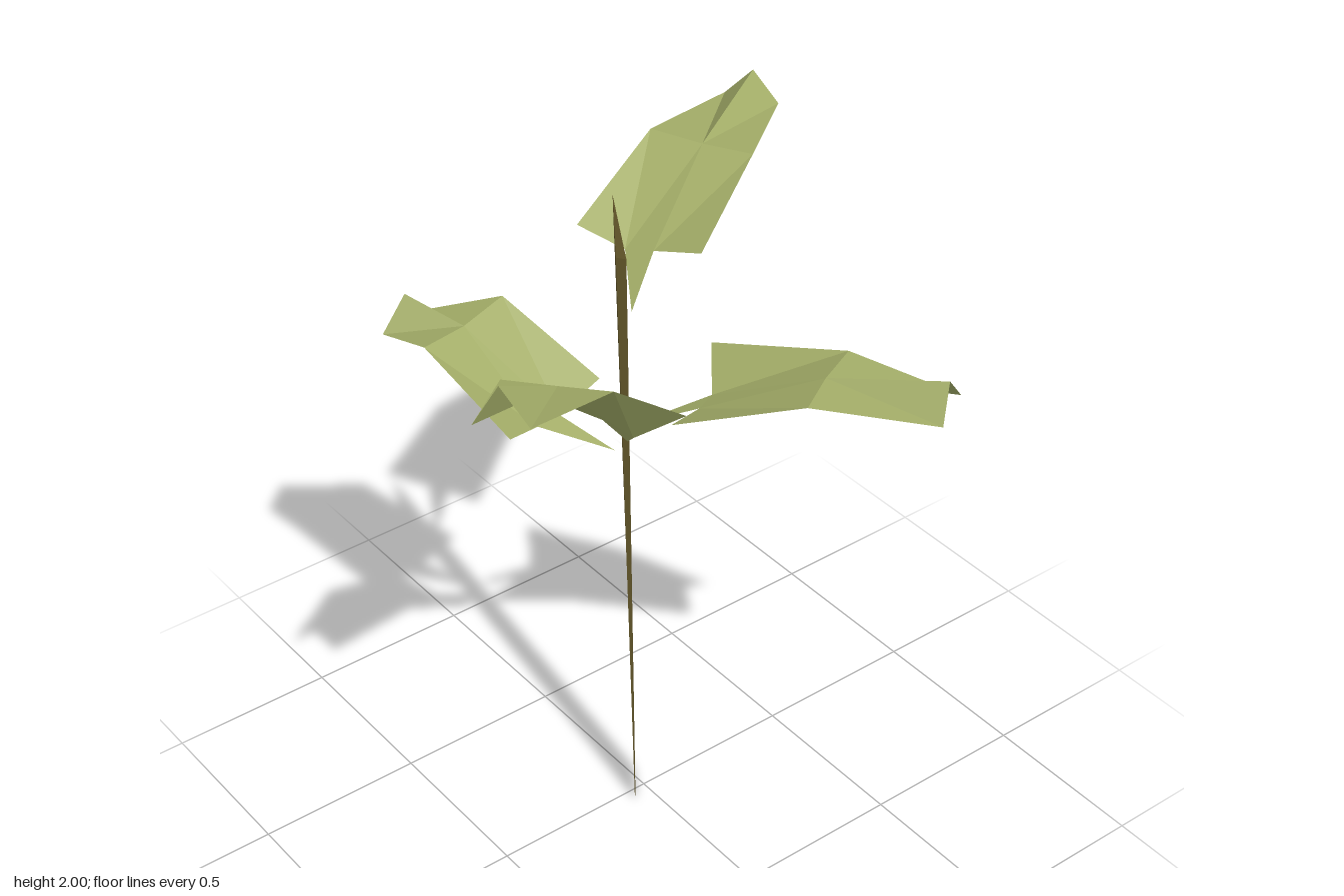
import * as THREE from 'three';

const mat = (color) => new THREE.MeshStandardMaterial({ color, flatShading: true, side: THREE.DoubleSide });

// Flat-shaded mesh from a few corner points and the triangles that join them
function facetMesh(name, points, triangles, material) {
  const indexed = new THREE.BufferGeometry();
  indexed.setAttribute('position', new THREE.Float32BufferAttribute(points.flat(), 3));
  indexed.setIndex(triangles.flat());
  const geometry = indexed.toNonIndexed();
  geometry.computeVertexNormals();
  const mesh = new THREE.Mesh(geometry, material);
  mesh.name = name;
  return mesh;
}

// Every leaf shares one layout of corners:
// 0 stalk end, 1-2 notch, 3-4 wide shoulders, 5-6 middle, 7 fold, 8-10 tip (9 is the raised ridge)
const LEAF_FACES = [
  [0, 1, 2],
  [1, 7, 2],
  [1, 3, 5], [1, 5, 7],
  [2, 6, 4], [2, 7, 6],
  [5, 8, 7], [6, 7, 10],
  [7, 8, 9], [7, 9, 10],
];

const LEAVES = {
  backLeftLeaf: [
    [-0.04, 1.69, 0.0], [0.08, 1.745, -0.185], [0.11, 1.77, -0.1],
    [0.0, 1.8, -0.29], [0.15, 1.82, 0.05], [0.34, 1.92, -0.41], [0.46, 1.93, -0.12],
    [0.4, 1.92, -0.26], [0.665, 1.89, -0.49], [0.69, 1.99, -0.4], [0.73, 1.9, -0.335],
  ],
  frontLeftLeaf: [
    [-0.05, 1.34, 0.01], [0.07, 1.42, 0.15], [0.145, 1.41, 0.11],
    [-0.08, 1.47, 0.22], [0.255, 1.46, -0.03], [0.14, 1.585, 0.5], [0.41, 1.57, 0.35],
    [0.27, 1.58, 0.42], [0.39, 1.55, 0.738], [0.45, 1.64, 0.69], [0.53, 1.545, 0.655],
  ],
  frontRightLeaf: [
    [-0.07, 1.3, 0.02], [-0.15, 1.42, 0.15], [-0.19, 1.45, 0.07],
    [-0.05, 1.5, 0.245], [-0.23, 1.47, -0.08], [-0.34, 1.74, 0.32], [-0.49, 1.69, 0.045],
    [-0.41, 1.71, 0.18], [-0.655, 1.815, 0.41], [-0.665, 1.88, 0.295], [-0.73, 1.78, 0.27],
  ],
  backRightLeaf: [
    [-0.03, 1.19, -0.09], [-0.18, 1.25, -0.24], [-0.1, 1.25, -0.25],
    [-0.31, 1.295, -0.185], [0.05, 1.3, -0.265], [-0.36, 1.44, -0.51], [-0.05, 1.45, -0.58],
    [-0.205, 1.43, -0.545], [-0.37, 1.385, -0.705], [-0.285, 1.48, -0.715], [-0.21, 1.385, -0.74],
  ],
};

export function createModel() {
  const plant = new THREE.Group();
  plant.name = 'plant';

  // Thin leaning stalk: almost flat at the ground, a slanted triangle at the cut top
  plant.add(facetMesh('stalk', [
    [-0.06, 0, 0.035], [-0.045, 0, 0.018], [0.02, 0, -0.07],
    [-0.105, 1.89, 0.02], [-0.06, 1.86, 0.005], [-0.035, 2, -0.085],
  ], [
    [0, 1, 4], [0, 4, 3],
    [1, 2, 5], [1, 5, 4],
    [2, 0, 3], [2, 3, 5],
    [3, 4, 5], [0, 2, 1],
  ], mat(0x5f5328)));

  // Folded leaves around the top
  const leafMaterial = mat(0xa3ad68);
  for (const [name, points] of Object.entries(LEAVES)) {
    plant.add(facetMesh(name, points, LEAF_FACES, leafMaterial));
  }
  return plant;
}
